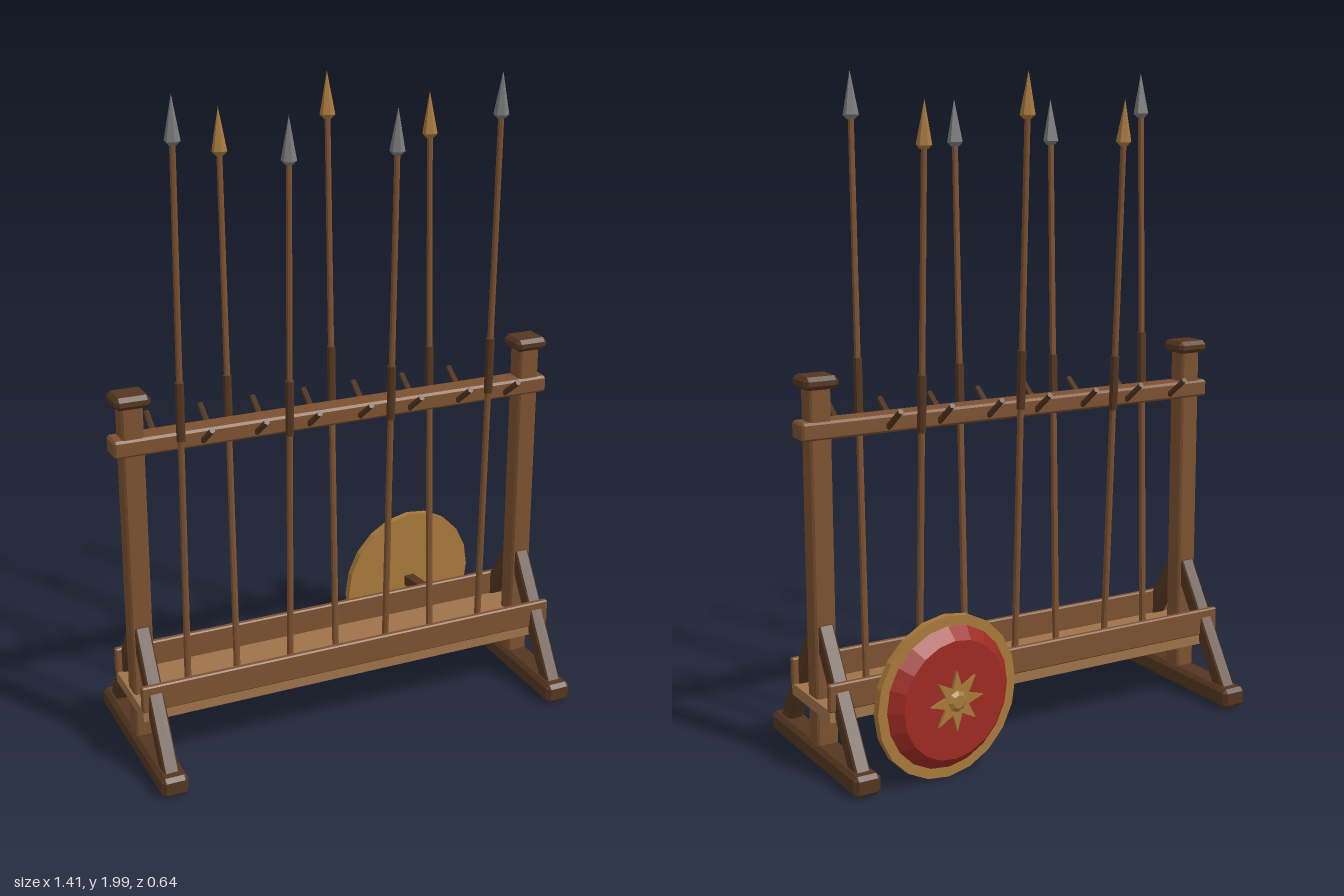
import * as THREE from 'three';
import { ConvexGeometry } from 'three/addons/geometries/ConvexGeometry.js';

const mat = (name, color) => {
  const m = new THREE.MeshStandardMaterial({ color, flatShading: true });
  m.name = name;
  return m;
};

const ZC = 0.018; // middle plane of the rack

export function createModel() {
  const root = new THREE.Group();
  root.name = 'spearRack';

  const wood = mat('mid wood', 0x7c5130);
  const dark = mat('dark wood', 0x543620);
  const light = mat('light wood', 0x9e734a);
  const steel = mat('steel', 0x7b7b7b);
  const brass = mat('brass', 0xa7783a);
  const red = mat('red paint', 0x9c2a22);

  const add = (name, geo, material, x, y, z, parent = root) => {
    const m = new THREE.Mesh(geo, material);
    m.name = name;
    m.position.set(x, y, z);
    parent.add(m);
    return m;
  };

  // Box with every edge chamfered by b
  const chamferBox = (w, h, d, b = 0.008) => {
    const pts = [];
    for (const sx of [-1, 1]) for (const sy of [-1, 1]) for (const sz of [-1, 1]) {
      const x = sx * w / 2, y = sy * h / 2, z = sz * d / 2;
      pts.push(
        new THREE.Vector3(x, y - sy * b, z - sz * b),
        new THREE.Vector3(x - sx * b, y, z - sz * b),
        new THREE.Vector3(x - sx * b, y - sy * b, z));
    }
    return new ConvexGeometry(pts);
  };

  // Turn an object so its y axis runs from a to b
  const aim = (obj, a, b) => {
    const dir = b.clone().sub(a).normalize();
    obj.quaternion.setFromUnitVectors(new THREE.Vector3(0, 1, 0), dir);
    return obj;
  };

  // End frames: foot, post, cap and two braces
  for (const s of [-1, 1]) {
    const x = s * 0.645;
    add('foot', chamferBox(0.082, 0.063, 0.595, 0.012), dark, x, 0.0375, ZC);
    add('post', chamferBox(0.065, 1.07, 0.065, 0.006), wood, x, 0.59, ZC);
    add('postCap', chamferBox(0.106, 0.038, 0.098, 0.012), dark, x, 1.134, ZC);
    for (const t of [-1, 1]) {
      const a = new THREE.Vector3(x, 0.05, ZC + t * 0.245);
      const b = new THREE.Vector3(x, 0.42, ZC + t * 0.012);
      const mid = a.clone().add(b).multiplyScalar(0.5);
      aim(add('brace', chamferBox(0.046, a.distanceTo(b), 0.05, 0.005), dark, mid.x, mid.y, mid.z), a, b);
    }
  }

  // Top rail and open-ended tray
  add('topRail', chamferBox(1.41, 0.053, 0.077, 0.007), wood, 0, 0.997, ZC);
  add('trayFloor', new THREE.BoxGeometry(1.368, 0.035, 0.268), light, 0, 0.1925, ZC);
  for (const t of [-1, 1])
    add('trayBoard', chamferBox(1.374, 0.082, 0.02, 0.004), wood, 0, 0.248, ZC + t * 0.13);

  // Slanted pegs along both sides of the rail
  for (const t of [-1, 1]) for (let i = 0; i < 7; i++) {
    const x = (t > 0 ? -0.438 : -0.56) + i * 0.166;
    const a = new THREE.Vector3(x, 0.985, ZC + t * 0.03);
    const b = new THREE.Vector3(x, 1.045, ZC + t * 0.112);
    const mid = a.clone().add(b).multiplyScalar(0.5);
    aim(add('peg', new THREE.CylinderGeometry(0.009, 0.01, a.distanceTo(b), 6), dark, mid.x, mid.y, mid.z), a, b);
  }

  // Spears: shaft, grip and pointed head
  const spear = (base, tip, headMat) => {
    const g = new THREE.Group();
    g.name = 'spear';
    g.position.copy(base);
    aim(g, base, tip);
    root.add(g);
    const L = base.distanceTo(tip);
    add('shaft', new THREE.CylinderGeometry(0.009, 0.011, L - 0.12, 8), wood, 0, (L - 0.12) / 2, 0, g);
    add('grip', new THREE.CylinderGeometry(0.0135, 0.0135, L * 0.1, 8), dark, 0, L * 0.495, 0, g);
    add('spearHead', new THREE.ConeGeometry(0.023, 0.125, 6), headMat, 0, L - 0.0625, 0, g);
    add('headSocket', new THREE.CylinderGeometry(0.023, 0.011, 0.012, 6), headMat, 0, L - 0.131, 0, g);
  };
  // each row: base x, tip x, tip height
  const front = [[-0.503, -0.518, 1.99], [-0.166, -0.185, 1.91], [0.163, 0.147, 1.91], [0.499, 0.48, 1.99]];
  const back = [[-0.336, -0.309, 1.91], [-0.002, 0.025, 1.99], [0.332, 0.359, 1.91]];
  for (const [bx, tx, h] of front)
    spear(new THREE.Vector3(bx, 0.21, 0.031), new THREE.Vector3(tx, h, 0.106), steel);
  for (const [bx, tx, h] of back)
    spear(new THREE.Vector3(bx, 0.21, 0.011), new THREE.Vector3(tx, h, -0.11), brass);

  // Round shield behind the rack; its local +z is the painted side
  const shield = new THREE.Group();
  shield.name = 'shield';
  shield.position.set(0.386, 0.245, -0.256);
  shield.rotation.y = Math.PI + 0.128;
  root.add(shield);
  const disc = (name, rFront, rBack, depth, sides, m, z) => {
    const geo = new THREE.CylinderGeometry(rFront, rBack, depth, sides).rotateX(Math.PI / 2);
    return add(name, geo, m, 0, 0, z + depth / 2, shield);
  };
  disc('shieldRim', 0.24, 0.24, 0.022, 20, brass, -0.011);
  disc('shieldFace', 0.175, 0.21, 0.034, 20, red, 0.011);

  // Eight-pointed star and boss
  const star = new THREE.Shape();
  for (let i = 0; i < 16; i++) {
    const r = i % 2 ? 0.042 : 0.09, a = i * Math.PI / 8;
    star[i ? 'lineTo' : 'moveTo'](r * Math.cos(a), r * Math.sin(a));
  }
  star.closePath();
  add('shieldStar', new THREE.ExtrudeGeometry(star, { depth: 0.009, bevelEnabled: false }), brass, 0, 0, 0.045, shield);
  disc('shieldBoss', 0.02, 0.032, 0.008, 8, brass, 0.054);

  // Bar joining the shield to the rack side
  add('shieldGrip', new THREE.BoxGeometry(0.034, 0.034, 0.115), dark, 0, 0, -0.066, shield);

  return root;
}
